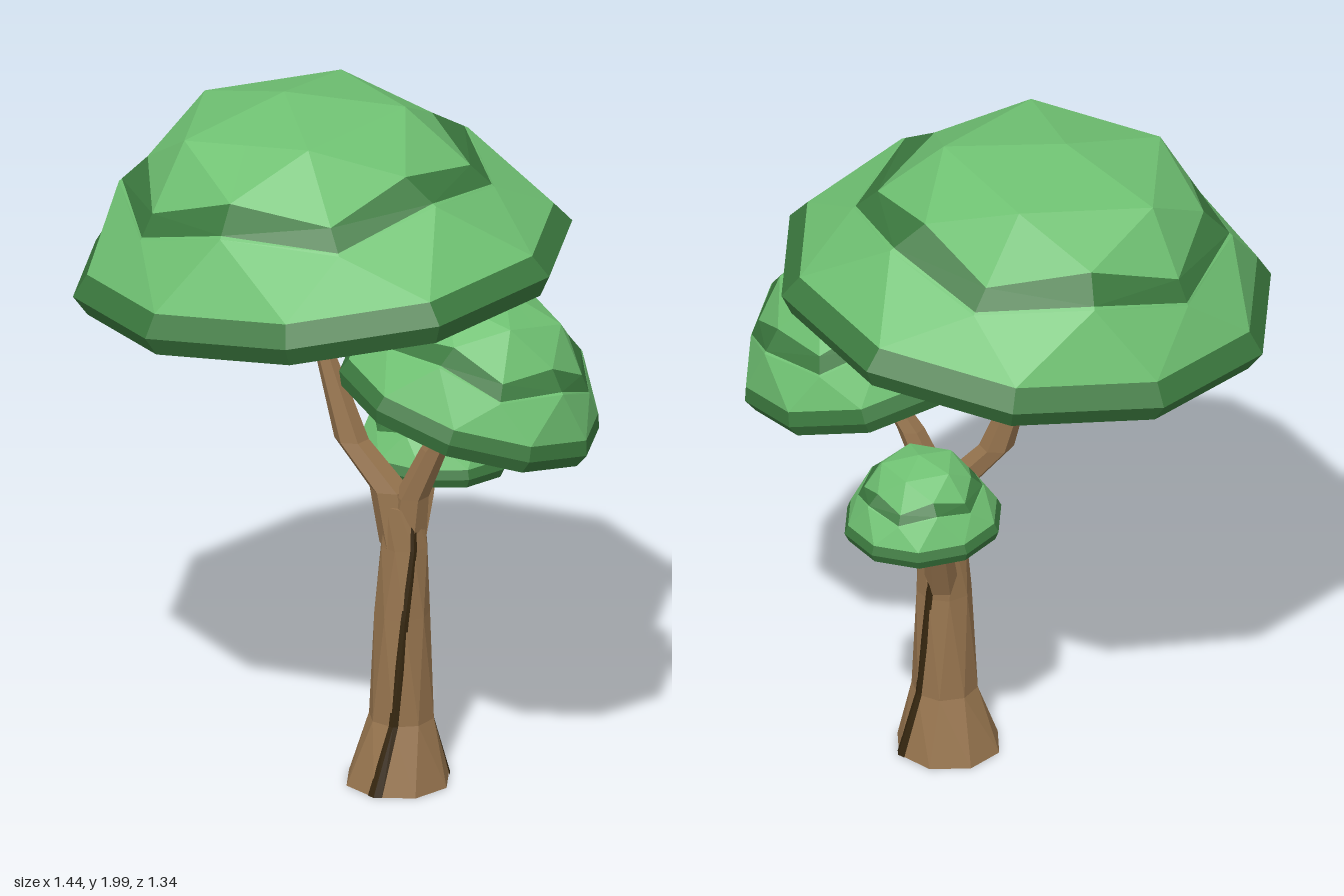
import * as THREE from 'three';

const leaf = 0x6fc172, leafDark = 0x3b783e, bark = 0x96744e, barkDark = 0x35260f;

const material = (color) =>
  new THREE.MeshStandardMaterial({ color, flatShading: true, side: THREE.DoubleSide });

// Horizontal ring of points
function ring(n, r, y, start = 0, cx = 0, cz = 0) {
  return Array.from({ length: n }, (_, i) => {
    const a = start + (i * Math.PI * 2) / n;
    return new THREE.Vector3(cx + r * Math.cos(a), y, cz + r * Math.sin(a));
  });
}

// Join two rings with triangles; alternate flips every other diagonal, open leaves a strip unclosed
function band(out, upper, lower, { alternate = false, open = false } = {}) {
  const n = upper.length;
  const add = (a, b, c) => {
    if (!a.equals(b) && !b.equals(c) && !a.equals(c)) out.push(a, b, c);
  };
  for (let i = 0; i < (open ? n - 1 : n); i++) {
    const j = (i + 1) % n;
    const [u0, u1, l0, l1] = [upper[i], upper[j], lower[i], lower[j]];
    if (alternate && i % 2 === 0) {
      add(l1, l0, u0);
      add(l1, u0, u1);
    } else {
      add(l1, l0, u1);
      add(l0, u0, u1);
    }
  }
}

function meshFrom(points, color, name) {
  const geometry = new THREE.BufferGeometry().setFromPoints(points);
  geometry.computeVertexNormals();
  const mesh = new THREE.Mesh(geometry, material(color));
  mesh.name = name;
  return mesh;
}

// Faceted dome with a zigzag stripe, dark rim and hollow ringed underside
function canopy(name, { size, position, tilt, fullness, rimTopRadius, lean = [0, 0] }) {
  const light = [], dark = [];
  const half = Math.PI / 10;
  const leaning = (points) =>
    points.map((p) => new THREE.Vector3(p.x + lean[0] * p.y, p.y, p.z + lean[1] * p.y));
  const zigzag = (evenR, evenY, oddR, oddY) =>
    leaning(ring(10, 1, 0).map((p, i) => {
      const r = i % 2 ? oddR : evenR;
      return new THREE.Vector3(p.x * r, i % 2 ? oddY : evenY, p.z * r);
    }));
  const mix = (a, b, even, odd) => a.map((p, i) => p.clone().lerp(b[i], i % 2 ? odd : even));

  // Upper surface
  const apex = leaning(ring(10, 0, 1));
  const crown = zigzag(0.465, 0.88, 0.376, 0.88);
  const shoulder = zigzag(fullness, 0.385, fullness - 0.01, 0.51);
  const stripeTop = mix(crown, shoulder, 0.73, 0.62);
  const stripeEnd = mix(crown, shoulder, 0.97, 0.96);
  const rimTop = ring(10, rimTopRadius, 0.12, half);
  const rim = ring(10, 1, 0, half);
  const lip = ring(10, 0.95, -0.12, half);
  band(light, apex, crown);
  band(light, crown, stripeTop, { alternate: true });
  band(dark, stripeTop, stripeEnd, { alternate: true });
  band(light, stripeEnd, shoulder, { alternate: true });
  band(light, shoulder, rimTop);
  band(dark, rimTop, rim);
  band(dark, rim, lip);

  // Underside, alternating dark and light rings
  let previous = lip;
  [[0.68, -0.02], [0.58, 0.02], [0.36, 0.07], [0.27, 0.09], [0, 0.13]].forEach(([r, y], i) => {
    const next = ring(10, r, y, half);
    band(i % 2 ? light : dark, previous, next);
    previous = next;
  });

  const group = new THREE.Group();
  group.name = name;
  group.add(meshFrom(light, leaf, 'leaves'), meshFrom(dark, leafDark, 'leafStripes'));
  group.scale.set(...size);
  group.position.set(...position);
  group.rotation.set(tilt[0], 0, tilt[1]);
  return group;
}

// Rings along a limb, each station being [x, y, z, radius, twist]
const limbRings = (sides, stations) =>
  stations.map(([x, y, z, r, twist = 0]) => ring(sides, r, y, twist, x, z));

function limb(name, sides, stations) {
  const points = [];
  const rings = limbRings(sides, stations);
  const cap = (p) => ring(sides, 0, p[1], 0, p[0], p[2]);
  rings.unshift(cap(stations[0]));
  rings.push(cap(stations[stations.length - 1]));
  for (let i = 1; i < rings.length; i++) band(points, rings[i], rings[i - 1]);
  return meshFrom(points, bark, name);
}

export function createModel() {
  const tree = new THREE.Group();
  tree.name = 'tree';

  // Trunk with a slow twist
  const trunk = [
    [0.155, 0, 0.052, 0.149, 0.3],
    [0.165, 0.19, 0.05, 0.092, 0.1],
    [0.167, 0.5, 0.052, 0.077, -0.25],
    [0.172, 0.7, 0.045, 0.068, -0.55],
    [0.168, 0.82, 0.045, 0.055, -0.75],
  ];
  tree.add(limb('trunk', 8, trunk));

  // Dark bark grooves following two twisted edges
  const wider = trunk.map(([x, y, z, r, t]) => [x, y, z, r * 1.015 + 0.001, t]);
  const grooves = [];
  for (const k of [2, 7]) {
    const strips = limbRings(8, wider).map((p) => [
      p[k].clone().lerp(p[k - 1], 0.2), p[k], p[k].clone().lerp(p[(k + 1) % 8], 0.2),
    ]);
    for (let i = 1; i < strips.length; i++) band(grooves, strips[i], strips[i - 1], { open: true });
  }
  tree.add(meshFrom(grooves, barkDark, 'barkGrooves'));

  // Branches
  tree.add(
    limb('mainBranch', 6, [
      [0.16, 0.7, 0.045, 0.057], [0.13, 0.86, 0.035, 0.056], [0.02, 0.99, 0.01, 0.048],
      [-0.053, 1.22, -0.01, 0.029], [-0.083, 1.45, -0.02, 0.026], [-0.088, 1.57, -0.02, 0.026],
    ]),
    limb('sideBranch', 6, [
      [0.175, 0.7, 0.045, 0.057], [0.195, 0.85, 0.058, 0.047], [0.26, 1.0, 0.073, 0.038],
      [0.34, 1.13, 0.09, 0.027], [0.38, 1.23, 0.12, 0.023],
    ]),
    limb('backBranch', 6, [
      [0.17, 0.52, 0.02, 0.048], [0.175, 0.66, -0.045, 0.04],
      [0.19, 0.77, -0.13, 0.036], [0.205, 0.88, -0.2, 0.028],
    ]),
  );

  // Canopies
  tree.add(
    canopy('mainCanopy', {
      size: [0.7, 0.487, 0.672], position: [-0.062, 1.515, 0], tilt: [-0.01, 0.108],
      fullness: 0.745, rimTopRadius: 0.935, lean: [-0.085, -0.04],
    }),
    canopy('sideCanopy', {
      size: [0.378, 0.34, 0.365], position: [0.37, 1.19, 0.16], tilt: [-0.04, -0.29],
      fullness: 0.82, rimTopRadius: 0.96,
    }),
    canopy('backCanopy', {
      size: [0.223, 0.212, 0.22], position: [0.211, 0.872, -0.2], tilt: [-0.03, -0.05],
      fullness: 0.79, rimTopRadius: 0.95,
    }),
  );
  return tree;
}
